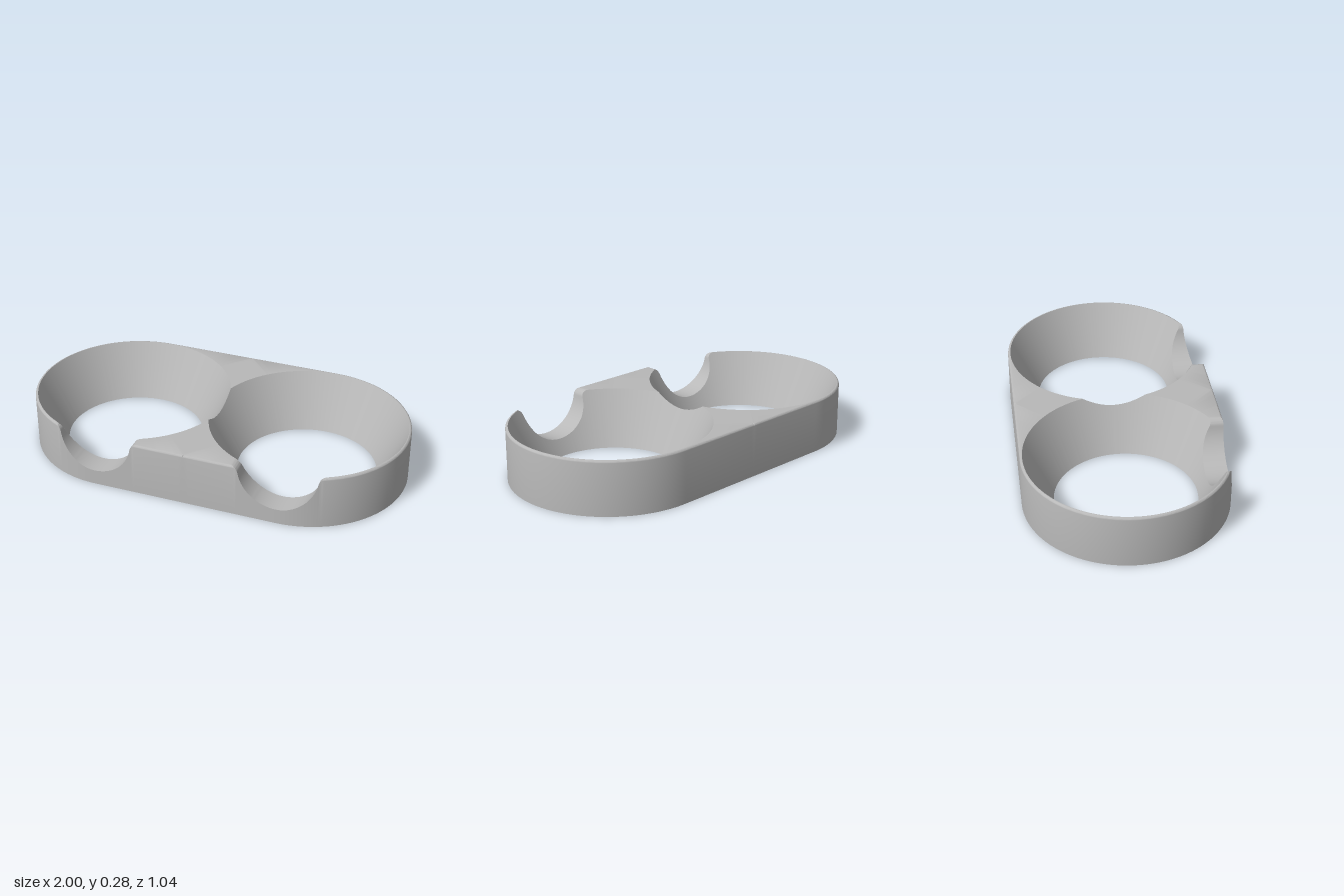
import * as THREE from 'three';
import { toCreasedNormals } from 'three/addons/utils/BufferGeometryUtils.js';

const CX = 0.48, R = 0.52, HEIGHT = 0.28;      // half spacing, end radius, height
const R_LOW = 0.36, R_TOP = 0.507;             // conical cup radii
const SLOPE = (R_TOP - R_LOW) / HEIGHT;
const NOTCH = 0.2, FILLET = 0.04, BEVEL = 0.012;
const RAD = Math.PI / 180;

// Height left by the rounded outer top edge at distance d from the outside
const edgeHeight = d => d >= BEVEL ? HEIGHT
  : HEIGHT - BEVEL + Math.sqrt(BEVEL ** 2 - (BEVEL - Math.max(d, 0)) ** 2);
const outerDistance = (x, z) => x > CX ? R - Math.hypot(x - CX, z) : R - Math.abs(z);

// Cross-section of the wall: up the cup, over the rim, down the outside
function section(angle, topY, ox, oz) {
  const c = Math.cos(angle), s = Math.sin(angle), r = R_LOW + SLOPE * topY;
  const ix = CX + r * c, iz = r * s;
  const pts = [[CX + R_LOW * c, 0, R_LOW * s], [ix, topY, iz]];
  const len = Math.hypot(ox - ix, oz - iz);
  for (const d of [BEVEL, 0.007, 0.0035, 0.001, 0]) {
    const t = len > 1e-6 ? Math.max(0, 1 - d / len) : 1;
    const x = ix + (ox - ix) * t, z = iz + (oz - iz) * t;
    pts.push([x, Math.min(topY, edgeHeight(outerDistance(x, z))), z]);
  }
  pts.push([ox, 0, oz]);
  return pts;
}

// Section along a ray from the cup centre
function raySection(deg) {
  const a = deg * RAD, c = Math.cos(a), s = Math.sin(a);
  const L = c >= 0 ? R : Math.min(CX / -c, R / Math.max(Math.abs(s), 1e-6));
  const topY = Math.min(HEIGHT, (L - R_LOW) / SLOPE);
  return section(a, topY, CX + L * c, L * s);
}

// Round notch with filleted lips, as [dx, y] from right to left
function notchProfile() {
  const fx = Math.sqrt((NOTCH + FILLET) ** 2 - FILLET ** 2), fy = HEIGHT - FILLET;
  const tilt = Math.asin(FILLET / (NOTCH + FILLET));
  const lip = [], bowl = [];
  for (let i = 0; i <= 10; i++) {
    const a = Math.PI / 2 + (Math.PI / 2 - tilt) * i / 10;
    lip.push([fx + FILLET * Math.cos(a), fy + FILLET * Math.sin(a)]);
  }
  for (let i = 1; i < 48; i++) {
    const a = -tilt - (Math.PI - 2 * tilt) * i / 48;
    bowl.push([NOTCH * Math.cos(a), HEIGHT + NOTCH * Math.sin(a)]);
  }
  return [...lip, ...bowl, ...lip.map(([x, y]) => [-x, y]).reverse()];
}

function bodyGeometry() {
  const sections = notchProfile().map(([dx, y]) => {
    const r = R_LOW + SLOPE * y;
    const oz = dx > 0 ? Math.sqrt(R * R - dx * dx) : R;
    return section(Math.acos(dx / r), y, CX + dx, oz);
  });
  // Rays around the rest of the cup, stopping exactly at corners
  const corner = Math.atan2(R, CX) / RAD, inner = Math.atan2(R - BEVEL, CX) / RAD;
  const meet = Math.acos(CX / R_TOP) / RAD;
  const stops = [118.5, 180 - corner, 180 - inner, 180 - meet, 180, 180 + meet,
    180 + inner, 180 + corner, 270, 421.5];
  for (let i = 0; i < stops.length - 1; i++) {
    const n = Math.ceil((stops[i + 1] - stops[i]) / 1.5);
    for (let j = 0; j < n; j++) {
      sections.push(raySection(stops[i] + (stops[i + 1] - stops[i]) * j / n));
    }
  }
  sections.push(raySection(421.5));

  const pos = [], A = new THREE.Vector3(), B = new THREE.Vector3(), C = new THREE.Vector3();
  const triangle = (a, b, c) => {
    A.set(...a); B.set(...b).sub(A); C.set(...c).sub(A);
    if (B.cross(C).length() < 1e-9) return;
    pos.push(...a, ...b, ...c);
    for (const p of [a, c, b]) pos.push(-p[0], p[1], p[2]);   // mirrored half
  };
  sections.forEach((p, i) => {
    const q = sections[(i + 1) % sections.length];
    for (let k = 0; k < p.length - 1; k++) {
      // The two halves join on x = 0, so no wall is needed there
      if ([p[k], p[k + 1], q[k], q[k + 1]].every(v => v[0] < 1e-5)) continue;
      triangle(p[k], q[k], p[k + 1]);
      triangle(p[k + 1], q[k], q[k + 1]);
    }
  });
  const g = new THREE.BufferGeometry();
  g.setAttribute('position', new THREE.Float32BufferAttribute(pos, 3));
  return toCreasedNormals(g, 0.6);
}

export function createModel() {
  const group = new THREE.Group();
  group.name = 'doubleCupHolder';
  const grey = new THREE.MeshStandardMaterial({ color: 0xb8b8b8 });
  grey.name = 'grey';
  const add = (name, geometry) => {
    const mesh = new THREE.Mesh(geometry, grey);
    mesh.name = name;
    group.add(mesh);
    return mesh;
  };

  add('body', bodyGeometry());

  // Underside with cup openings and four small blind holes
  const pinR = 0.022, pinDepth = 0.05;
  const pins = [[0.94, 0], [-0.94, 0], [0, 0.47], [0, -0.47]];
  const shape = new THREE.Shape();
  shape.absarc(CX, 0, R, -Math.PI / 2, Math.PI / 2);
  shape.absarc(-CX, 0, R, Math.PI / 2, Math.PI * 1.5);
  shape.closePath();
  const hole = (x, y, r) => shape.holes.push(new THREE.Path().absarc(x, y, r, 0, Math.PI * 2, true));
  hole(CX, 0, R_LOW);
  hole(-CX, 0, R_LOW);
  pins.forEach(([x, z]) => hole(x, z, pinR));
  add('underside', new THREE.ShapeGeometry(shape, 60).rotateX(Math.PI / 2));

  // Walls and ends of the blind holes
  pins.forEach(([x, z]) => {
    const wall = new THREE.LatheGeometry(
      [new THREE.Vector2(pinR, pinDepth), new THREE.Vector2(pinR, 0)], 32);
    add('pinHoleWall', wall).position.set(x, 0, z);
    const end = new THREE.CircleGeometry(pinR, 32).rotateX(Math.PI / 2);
    add('pinHoleEnd', end).position.set(x, pinDepth, z);
  });
  return group;
}
